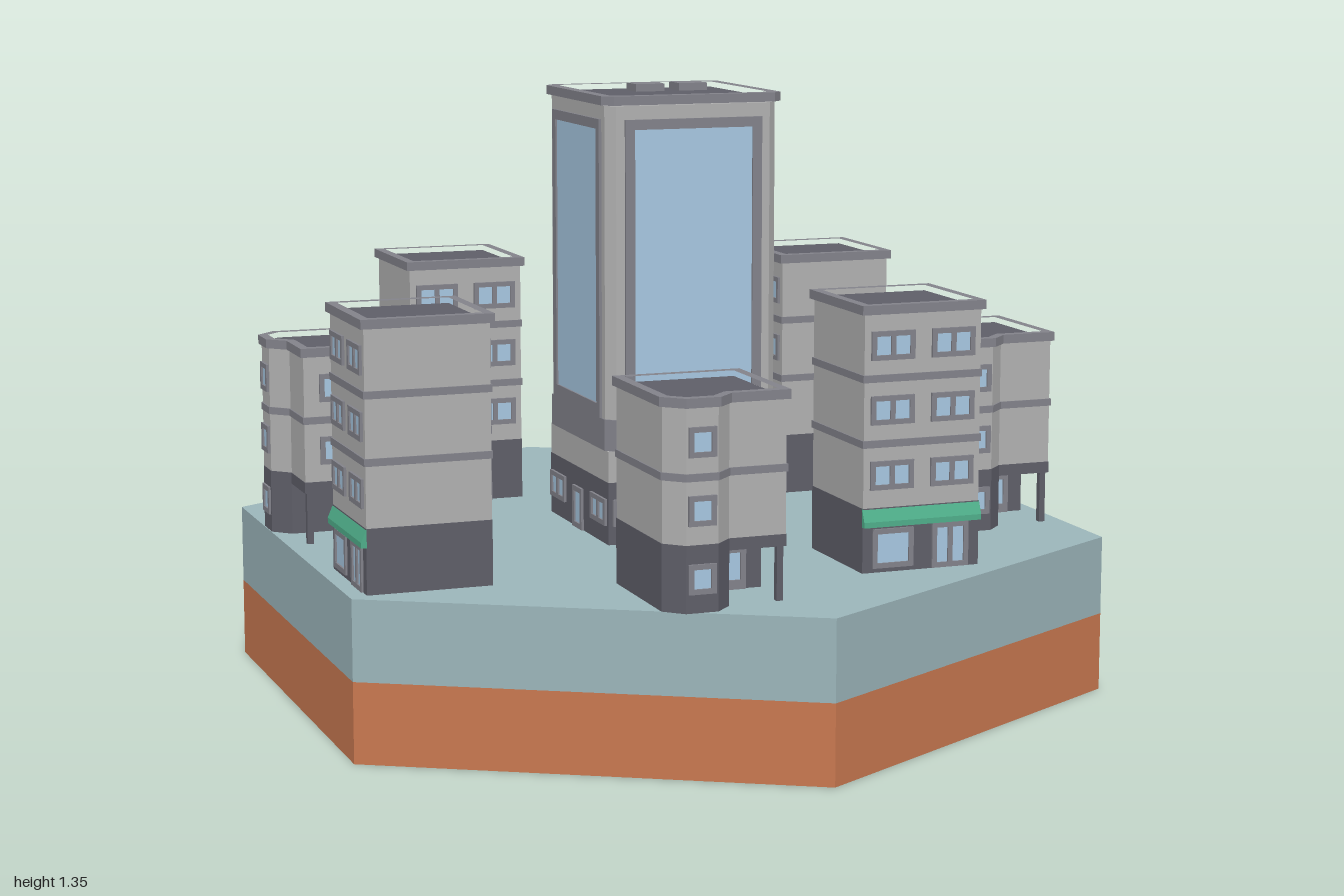
import * as THREE from 'three';

const mat = (color) => new THREE.MeshStandardMaterial({ color, flatShading: true });
const M = {
  soil: mat(0xc87850), ground: mat(0x9bb5ba), wall: mat(0xb0b0b0), dark: mat(0x5e5e68),
  trim: mat(0x82828a), glass: mat(0xa6c6e0), green: mat(0x4fae8a),
};
const G = 0.35; // street level

function add(parent, name, geo, material, x = 0, y = 0, z = 0) {
  const m = new THREE.Mesh(geo, material);
  m.name = name;
  m.position.set(x, y, z);
  parent.add(m);
  return m;
}
const box = (p, name, material, w, h, d, x, y, z) =>
  add(p, name, new THREE.BoxGeometry(w, h, d), material, x, y, z);

const toPoints = (pts) => pts.map(([x, z]) => new THREE.Vector2(x, -z));

// Upright prism over a plan outline of [x, z] points, optionally hollow
function slab(p, name, material, pts, y0, y1, hole) {
  const shape = new THREE.Shape(toPoints(pts));
  if (hole) shape.holes.push(new THREE.Path(toPoints(hole)));
  const geo = new THREE.ExtrudeGeometry(shape, { depth: y1 - y0, bevelEnabled: false });
  geo.rotateX(-Math.PI / 2);
  return add(p, name, geo, material, 0, y0, 0);
}

// Plan outlines
const square = (h) => [[-h, -h], [h, -h], [h, h], [-h, h]];
const cutSquare = (h, c) => [
  [-h + c, -h], [h - c, -h], [h, -h + c], [h, h - c], [h - c, h], [-h + c, h], [-h, h - c], [-h, -h + c]];
const bay = (e) => [ // corner bay grown outward by e
  [0.01 + e * 0.41, 0.135 + e], [-0.028 + e * 0.41, 0.173 + e],
  [-0.097 - e * 0.41, 0.173 + e], [-0.135 - e, 0.135 + e * 0.41]];
const bayHouse = (e) => {
  const h = 0.135 + e;
  return [[-h, -h], [h, -h], [h, h], ...bay(e)];
};

// Wall frame: a group whose local +z is the outward direction of one side
function side(parent, name, quarter, dist) {
  const turn = new THREE.Group();
  turn.name = name;
  turn.rotation.y = quarter * Math.PI / 2;
  const face = new THREE.Group();
  face.position.z = dist;
  turn.add(face);
  parent.add(turn);
  return face;
}

// Framed opening with one or more panes
function opening(p, name, x, y, w, h, panes = 1, b = 0.011, sill = b) {
  const s = new THREE.Shape(toPoints([[-w / 2, -h / 2], [w / 2, -h / 2], [w / 2, h / 2], [-w / 2, h / 2]]));
  const pw = (w - b * (panes + 1)) / panes;
  for (let i = 0; i < panes; i++) {
    const x0 = -w / 2 + b + i * (pw + b);
    s.holes.push(new THREE.Path([
      [x0, -h / 2 + sill], [x0 + pw, -h / 2 + sill], [x0 + pw, h / 2 - b], [x0, h / 2 - b],
    ].map((q) => new THREE.Vector2(...q))));
  }
  add(p, name + 'Frame', new THREE.ExtrudeGeometry(s, { depth: 0.006, bevelEnabled: false }), M.trim, x, y, 0);
  box(p, name + 'Glass', M.glass, w - b, h - b, 0.004, x, y, 0);
}

// Parapet ring with a sunken dark deck
function roof(p, outline, inner, y) {
  slab(p, 'parapet', M.trim, outline, y - 0.02, y, inner);
  slab(p, 'roofDeck', M.dark, inner, y - 0.022, y - 0.012);
}

// Four-storey block with a shop on the front
function shopBlock() {
  const g = new THREE.Group();
  slab(g, 'groundFloor', M.dark, square(0.136), G, 0.49);
  slab(g, 'upperWalls', M.wall, square(0.135), 0.49, 0.905);
  for (const y of [0.628, 0.768]) slab(g, 'floorBand', M.trim, square(0.138), y - 0.008, y + 0.008);
  roof(g, square(0.143), square(0.122), 0.925);
  for (const q of [0, 2]) {
    const f = side(g, q ? 'backFacade' : 'frontFacade', q, 0.135);
    for (const y of [0.56, 0.7, 0.838])
      for (const x of [-0.07, 0.07]) opening(f, 'window', x, y, 0.1, 0.062, 2);
    if (q) continue;
    opening(f, 'shopWindow', -0.066, 0.402, 0.095, 0.085);
    opening(f, 'shopDoor', 0.068, 0.4, 0.085, 0.098, 2);
    // awning, thicker toward the bottom
    const s = new THREE.Shape(toPoints([[0, 0.49], [0.012, 0.462], [0.012, 0.45], [0, 0.45]].map(([a, b]) => [a, -b])));
    const geo = new THREE.ExtrudeGeometry(s, { depth: 0.274, bevelEnabled: false });
    geo.rotateY(-Math.PI / 2);
    add(f, 'awning', geo, M.green, 0.137, 0, 0);
  }
  return g;
}

// Three-storey house with a corner bay and an open porch
function bayBlock() {
  const g = new THREE.Group();
  const h = 0.136;
  slab(g, 'groundFloor', M.dark, [[-h, -h], [h, -h], [h, 0], [0.01, 0], ...bay(0.001)], G, 0.47);
  slab(g, 'porchCeiling', M.dark, bayHouse(0.001), 0.465, 0.49);
  box(g, 'porchPost', M.dark, 0.014, 0.12, 0.014, 0.124, 0.41, 0.124);
  slab(g, 'upperWalls', M.wall, bayHouse(0), 0.49, 0.772);
  slab(g, 'floorBand', M.trim, bayHouse(0.003), 0.62, 0.636);
  roof(g, bayHouse(0.007), bayHouse(-0.014), 0.79);

  const bayFace = side(g, 'bayWindows', 0, 0.173);
  for (const y of [0.42, 0.56, 0.7]) opening(bayFace, 'window', -0.063, y, 0.06, 0.062);
  opening(side(g, 'porchDoor', 0, 0), 'door', 0.07, 0.395, 0.06, 0.09, 1, 0.012, 0.02);
  for (const q of [1, 2]) {
    const f = side(g, q === 1 ? 'sideWindows' : 'backWindows', q, 0.135);
    for (const y of [0.56, 0.7])
      for (const x of [-0.07, 0.07]) opening(f, 'window', x, y, 0.06, 0.062);
  }
  return g;
}

// Central glazed tower
function tower() {
  const g = new THREE.Group();
  slab(g, 'groundFloor', M.dark, square(0.2), G, 0.49);
  slab(g, 'plinthWalls', M.wall, square(0.199), 0.49, 0.56);
  slab(g, 'plinthBand', M.trim, cutSquare(0.203, 0.02), 0.56, 0.63);
  slab(g, 'towerWalls', M.wall, cutSquare(0.2, 0.02), 0.63, 1.32);
  roof(g, cutSquare(0.21, 0.022), cutSquare(0.185, 0.016), 1.342);
  for (let q = 0; q < 4; q++) {
    const f = side(g, 'towerSide', q, 0.2);
    opening(f, 'curtainWall', 0, 0.96, 0.32, 0.66, 1, 0.022, 0.03);
    opening(f, 'entrance', 0, 0.398, 0.064, 0.095, 1, 0.012);
    for (const x of [-0.14, 0.14]) opening(f, 'window', x, 0.422, 0.1, 0.06, 2);
  }
  for (const x of [0, 0.104]) box(g, 'roofUnit', M.trim, 0.068, 0.022, 0.066, x, 1.336, -0.107);
  return g;
}

export function createModel() {
  const root = new THREE.Group();
  root.name = 'cityBlock';

  // Hexagonal ground tile
  const hex = Array.from({ length: 6 }, (_, i) => [Math.sin(i * Math.PI / 3), Math.cos(i * Math.PI / 3)]);
  slab(root, 'soil', M.soil, hex, 0, 0.175);
  slab(root, 'ground', M.ground, hex, 0.175, G);

  const place = (name, g, x, z, quarter) => {
    g.name = name;
    g.position.set(x, 0, z);
    g.rotation.y = quarter * Math.PI / 2;
    root.add(g);
  };
  place('tower', tower(), 0, -0.003, 0);
  for (const [x, z, q] of [[0.347, 0.515, 0], [0.52, -0.35, 1], [-0.347, -0.525, 2], [-0.692, 0.345, 3]])
    place('shopBlock', shopBlock(), x, z, q);
  for (const [x, z, q] of [[-0.172, 0.688, 0], [0.693, 0.17, 0], [0.175, -0.697, 1], [-0.69, -0.177, 3]])
    place('bayBlock', bayBlock(), x, z, q);
  return root;
}
